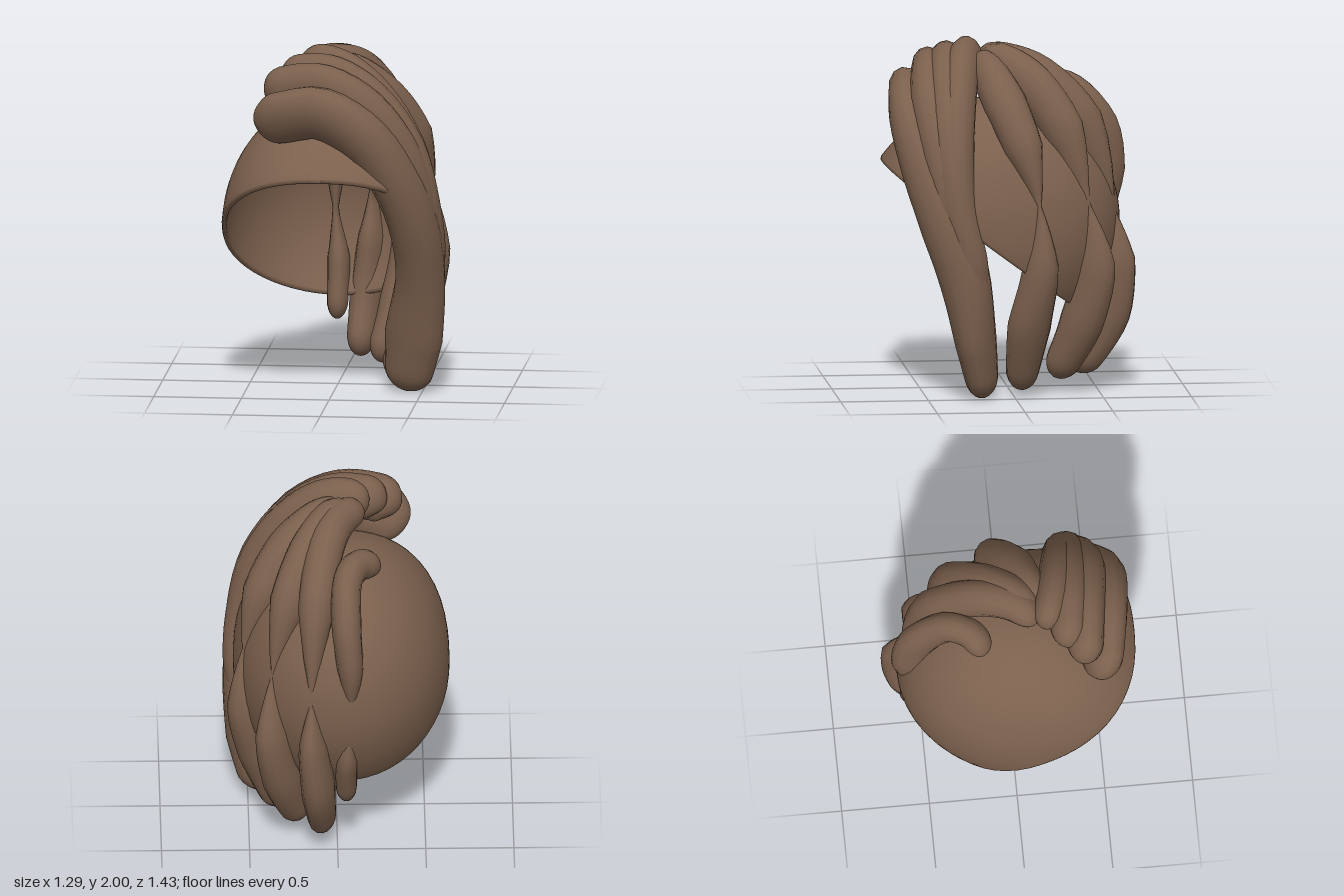
import * as THREE from 'three';

const CENTRE = new THREE.Vector3(-0.03, 0.87, 0.12);

// Tapered, round-ended lock swept through rows of [x, y, z, halfWidth, halfThickness].
function lockGeometry(rows, rings = 44, sides = 14) {
  const path = new THREE.CatmullRomCurve3(rows.map(r => new THREE.Vector3(r[0], r[1], r[2])));
  const start = path.getPoint(0), end = path.getPoint(1);
  const positions = [], index = [];
  for (let i = 0; i <= rings; i++) {
    const t = (1 - Math.cos(Math.PI * i / rings)) / 2; // denser at the tips
    const p = path.getPoint(t), tangent = path.getTangent(t);
    const k = Math.min(rows.length - 2, Math.floor(t * (rows.length - 1)));
    const mix = t * (rows.length - 1) - k;
    const width = THREE.MathUtils.lerp(rows[k][3], rows[k + 1][3], mix);
    const depth = THREE.MathUtils.lerp(rows[k][4], rows[k + 1][4], mix);
    const out = p.clone().sub(CENTRE);
    out.addScaledVector(tangent, -out.dot(tangent)).normalize();
    const side = tangent.clone().cross(out).normalize();
    const d = Math.min(1, Math.min(p.distanceTo(start), p.distanceTo(end)) / 0.11);
    const cap = Math.max(0.01, Math.sqrt(1 - (1 - d) ** 2));
    for (let j = 0; j < sides; j++) {
      const a = j / sides * Math.PI * 2;
      const v = p.clone()
        .addScaledVector(side, Math.cos(a) * width * cap)
        .addScaledVector(out, Math.sin(a) * depth * cap);
      positions.push(v.x, v.y, v.z);
      if (i < rings) {
        const m = i * sides + j, n = i * sides + (j + 1) % sides;
        index.push(m, m + sides, n, n, m + sides, n + sides);
      }
    }
  }
  const g = new THREE.BufferGeometry();
  g.setAttribute('position', new THREE.Float32BufferAttribute(positions, 3));
  g.setIndex(index);
  g.computeVertexNormals();
  return g;
}

// Hollow half-ellipsoid cap, open towards the face and neck.
function capGeometry() {
  const profile = [], steps = 24;
  const arc = (r, k) => new THREE.Vector2(Math.max(0, r * Math.cos(k)), r * Math.sin(k));
  for (let i = steps; i >= 0; i--) profile.push(arc(0.955, i / steps * Math.PI / 2));
  profile.push(new THREE.Vector2(0.965, -0.02), new THREE.Vector2(0.99, -0.02));
  for (let i = 0; i <= steps; i++) profile.push(arc(1, i / steps * Math.PI / 2));
  const g = new THREE.LatheGeometry(profile, 56);
  // Square off the brow side of the rim
  const pos = g.attributes.position, power = 2.4;
  for (let i = 0; i < pos.count; i++) {
    const x = pos.getX(i), z = pos.getZ(i), r = Math.hypot(x, z);
    if (z <= 0 || r < 0.001) continue;
    const full = (Math.abs(x / r) ** power + (z / r) ** power) ** (-1 / power);
    const f = 1 + (full - 1) * r * r;
    pos.setX(i, x * f);
    pos.setZ(i, z * f);
  }
  g.scale(0.615, 0.81, 0.735);
  g.rotateX(-0.6435);
  g.translate(CENTRE.x, CENTRE.y, CENTRE.z);
  g.computeVertexNormals();
  return g;
}

const LOCKS = {
  // Fringe sweeping over the brow and down one side
  fringeFront: [
    [-0.43, 1.61, 0.50, 0.09, 0.12], [-0.30, 1.62, 0.51, 0.10, 0.17], [-0.05, 1.66, 0.54, 0.12, 0.17],
    [0.18, 1.54, 0.55, 0.13, 0.16], [0.36, 1.30, 0.49, 0.15, 0.14], [0.47, 1.0, 0.39, 0.16, 0.135],
    [0.50, 0.7, 0.295, 0.15, 0.14], [0.455, 0.33, 0.225, 0.115, 0.175], [0.405, 0.0, 0.17, 0.08, 0.13]],
  fringeSecond: [
    [-0.37, 1.72, 0.40, 0.09, 0.1], [-0.26, 1.77, 0.41, 0.10, 0.14], [-0.04, 1.79, 0.43, 0.11, 0.14],
    [0.20, 1.66, 0.45, 0.12, 0.14], [0.40, 1.38, 0.41, 0.12, 0.13], [0.49, 1.05, 0.34, 0.12, 0.12],
    [0.50, 0.78, 0.27, 0.1, 0.11], [0.48, 0.5, 0.23, 0.06, 0.09]],
  fringeThird: [
    [-0.29, 1.80, 0.31, 0.09, 0.1], [-0.18, 1.83, 0.32, 0.10, 0.13], [0, 1.83, 0.34, 0.11, 0.13],
    [0.22, 1.70, 0.36, 0.11, 0.13], [0.41, 1.43, 0.36, 0.11, 0.13], [0.50, 1.1, 0.33, 0.11, 0.12],
    [0.52, 0.8, 0.26, 0.09, 0.1], [0.49, 0.55, 0.21, 0.06, 0.08]],
  fringeCrown: [
    [-0.18, 1.83, 0.19, 0.08, 0.1], [-0.08, 1.87, 0.22, 0.09, 0.13], [0.06, 1.84, 0.26, 0.1, 0.13],
    [0.25, 1.70, 0.30, 0.1, 0.12], [0.42, 1.43, 0.33, 0.1, 0.12], [0.51, 1.1, 0.325, 0.1, 0.11],
    [0.54, 0.8, 0.255, 0.09, 0.1], [0.50, 0.5, 0.20, 0.06, 0.08]],
  // Side and back locks, pinched at half height
  sideLock: [
    [-0.06, 1.85, 0.17, 0.08, 0.09], [0.09, 1.81, 0.12, 0.1, 0.12], [0.27, 1.67, 0.045, 0.125, 0.12],
    [0.42, 1.42, -0.05, 0.11, 0.12], [0.50, 1.1, -0.12, 0.015, 0.04], [0.51, 0.75, -0.14, 0.1, 0.12],
    [0.44, 0.4, -0.08, 0.125, 0.12], [0.31, 0.03, -0.04, 0.08, 0.09]],
  backSideLock: [
    [-0.09, 1.85, 0.14, 0.08, 0.09], [0.03, 1.85, 0.04, 0.1, 0.12], [0.15, 1.75, -0.12, 0.115, 0.13],
    [0.27, 1.50, -0.29, 0.11, 0.13], [0.35, 1.09, -0.40, 0.015, 0.04], [0.365, 0.74, -0.46, 0.09, 0.13],
    [0.31, 0.4, -0.39, 0.105, 0.13], [0.21, 0.08, -0.25, 0.08, 0.09]],
  backLock: [
    [-0.15, 1.85, 0.14, 0.08, 0.09], [-0.03, 1.86, 0.04, 0.1, 0.11], [0.06, 1.79, -0.16, 0.105, 0.12],
    [0.12, 1.52, -0.41, 0.105, 0.13], [0.14, 1.02, -0.56, 0.015, 0.04], [0.14, 0.74, -0.58, 0.08, 0.14],
    [0.11, 0.42, -0.55, 0.095, 0.14], [0.08, 0.09, -0.38, 0.075, 0.1]],
  farBackLock: [
    [-0.24, 1.65, -0.16, 0.08, 0.08], [-0.13, 1.70, -0.22, 0.085, 0.1], [-0.06, 1.68, -0.35, 0.085, 0.11],
    [-0.05, 1.48, -0.52, 0.085, 0.12], [-0.07, 1.22, -0.57, 0.075, 0.11], [-0.07, 0.9, -0.55, 0.015, 0.04],
    [-0.05, 0.62, -0.52, 0.065, 0.11], [-0.05, 0.29, -0.42, 0.06, 0.08]]
};

export function createModel() {
  const group = new THREE.Group();
  group.name = 'hairpiece';
  const brown = new THREE.MeshStandardMaterial({ color: 0x7b604d });
  brown.name = 'brown hair';
  const add = (name, geometry) => {
    const mesh = new THREE.Mesh(geometry, brown);
    mesh.name = name;
    group.add(mesh);
  };
  add('cap', capGeometry());
  for (const [name, rows] of Object.entries(LOCKS)) add(name, lockGeometry(rows));
  return group;
}
